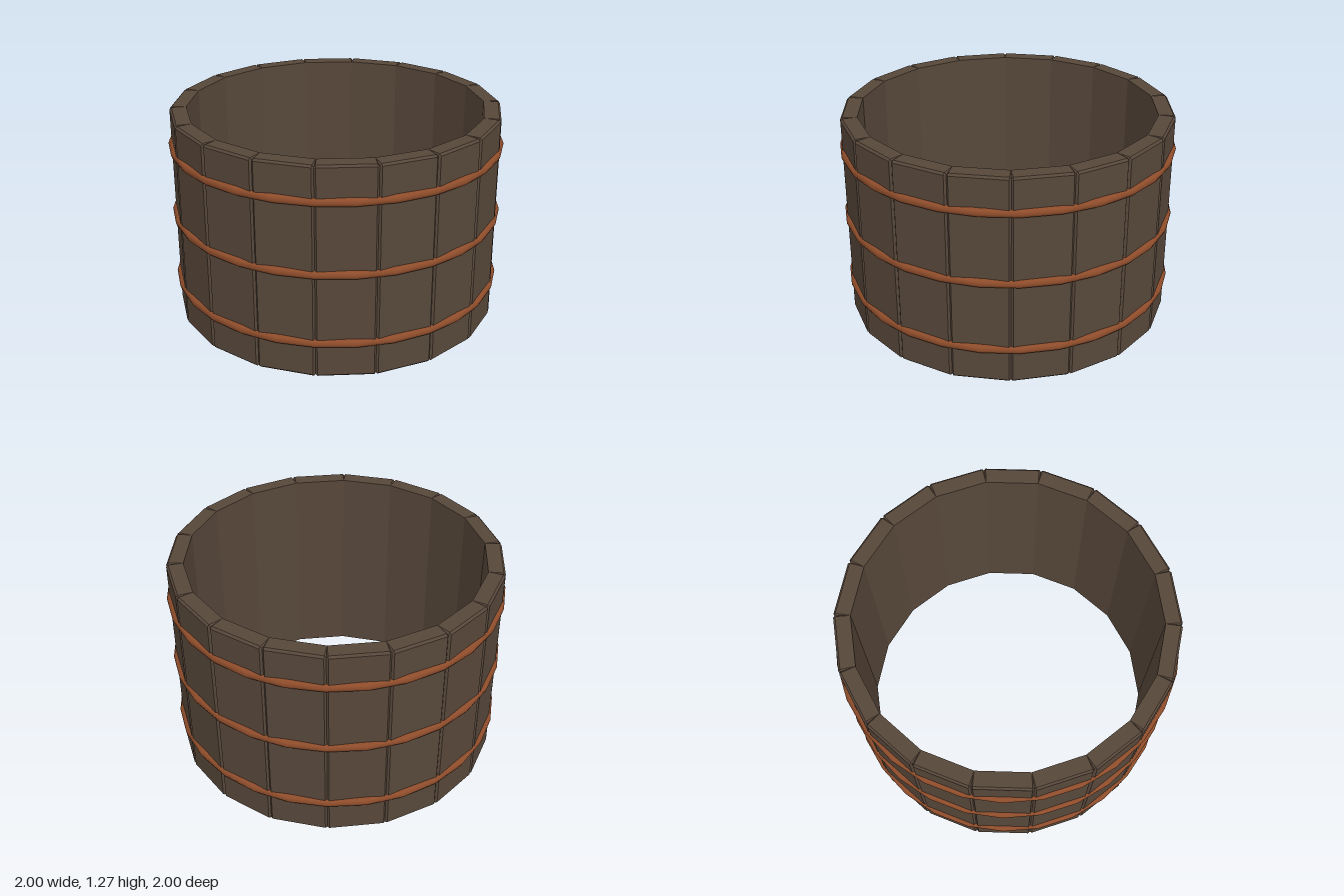
import * as THREE from 'three';
import { ConvexGeometry } from 'three/addons/geometries/ConvexGeometry.js';

const STAVES = 18, HEIGHT = 1.27, INNER = 0.885, OUTER = 0.985, BEVEL = 0.012;

// One flat stave, centred on +z, with softened outer edges
function staveGeometry() {
  const half = Math.PI / STAVES, points = [];
  const zIn = INNER * Math.cos(half), xIn = INNER * Math.sin(half);
  const zOut = OUTER * Math.cos(half), xOut = OUTER * Math.sin(half);
  for (const s of [-1, 1]) {
    for (const [y, dir] of [[0, 1], [HEIGHT, -1]]) {
      const inset = y + dir * BEVEL;
      points.push(
        new THREE.Vector3(s * xIn, y, zIn),
        new THREE.Vector3(s * (xOut - BEVEL), y, zOut - BEVEL),
        new THREE.Vector3(s * (xOut - 0.002), inset, zOut - BEVEL),
        new THREE.Vector3(s * (xOut - BEVEL), inset, zOut)
      );
    }
  }
  return new ConvexGeometry(points);
}

export function createModel() {
  const model = new THREE.Group();
  model.name = 'openBarrel';
  const wood = new THREE.MeshStandardMaterial({ color: 0x57473a });
  wood.name = 'dark wood';
  const rust = new THREE.MeshStandardMaterial({ color: 0x8f4d2b });
  rust.name = 'rusty metal';

  // Wall of staves, with a seam on the z axis
  const wall = new THREE.Group();
  wall.name = 'staves';
  const stave = staveGeometry();
  for (let i = 0; i < STAVES; i++) {
    const mesh = new THREE.Mesh(stave, wood);
    mesh.name = 'stave';
    mesh.rotation.y = ((i + 0.5) / STAVES) * Math.PI * 2;
    wall.add(mesh);
  }
  model.add(wall);

  // Three hoops around the wall
  const hoop = new THREE.TorusGeometry(0.973, 0.026, 8, 28).rotateX(Math.PI / 2);
  for (const y of [0.215, 0.64, 1.065]) {
    const mesh = new THREE.Mesh(hoop, rust);
    mesh.name = 'hoop';
    mesh.position.y = y;
    model.add(mesh);
  }
  return model;
}
